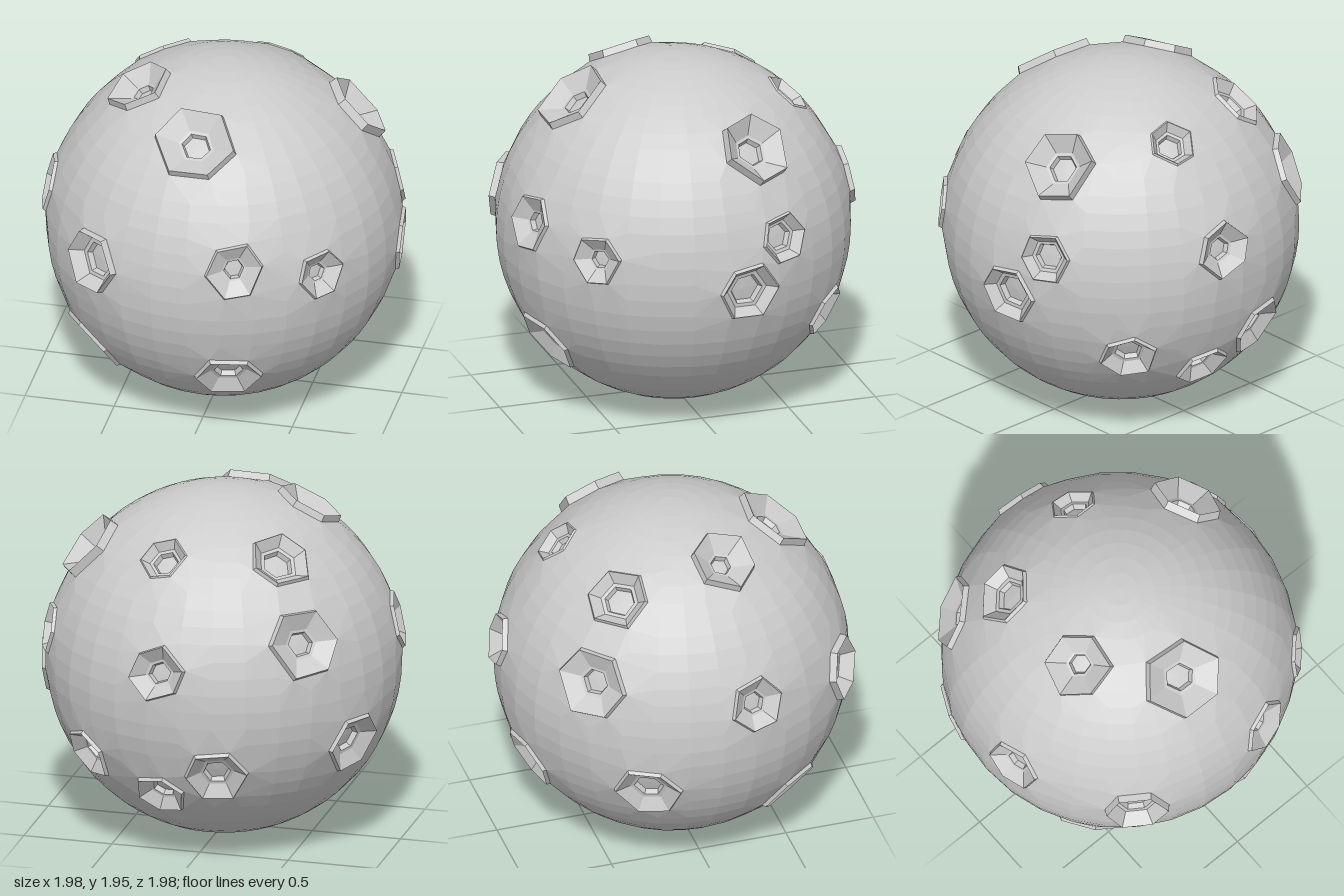
import * as THREE from 'three';
import { ConvexGeometry } from 'three/addons/geometries/ConvexGeometry.js';

const R = 0.975;
const FOOT = 0.982;

// Craters: direction x, y, z, rim radius, rim height from centre, floor share, roll
const CRATERS = [
  [-0.03, 0.79, 0.57, 0.21, 1.02, 0.5, 0],
  [0.27, 0.21, 0.91, 0.155, 1.0, 0.48, 0.1],
  [0.70, 0.11, 0.67, 0.135, 1.0, 0.5, 0.1],
  [-0.55, 0.10, 0.80, 0.17, 1.02, 0.75, 0],
  [0.21, -0.53, 0.78, 0.185, 1.0, 0.6, 0],
  [-0.62, -0.57, 0.48, 0.19, 1.0, 0.6, 0.2],
  [0.68, 0.65, -0.24, 0.19, 1.03, 0.55, 0.2],
  [0.89, 0.20, -0.34, 0.14, 1.0, 0.75, 0.15],
  [0.965, -0.08, -0.12, 0.165, 1.0, 0.75, 0],
  [0.58, -0.385, -0.68, 0.15, 1.0, 0.65, 0.3],
  [0.14, -0.55, -0.79, 0.14, 1.0, 0.6, 0.3],
  [0.12, 0.20, -0.94, 0.15, 1.01, 0.55, 0.3],
  [0.18, 0.74, -0.60, 0.125, 0.99, 0.75, 0.3],
  [-0.44, 0.745, -0.45, 0.165, 1.0, 0.7, 0.1],
  [-0.43, 0.86, 0.16, 0.175, 1.02, 0.45, 0.4],
  [-0.92, 0.22, 0.20, 0.155, 1.0, 0.55, 0.2],
  [-0.63, 0.35, -0.65, 0.19, 1.01, 0.5, 0],
  [-0.20, -0.40, -0.87, 0.175, 1.0, 0.6, 0.1],
  [-0.84, -0.29, -0.40, 0.175, 1.0, 0.6, 0.1],
];

let seed = 7;
const rand = () => (seed = (seed * 16807) % 2147483647) / 2147483647;

// One crater: its frame, its six irregular corners and a ring maker
function makeCrater([x, y, z, size, height, floor, roll]) {
  const dir = new THREE.Vector3(x, y, z).normalize();
  const right = new THREE.Vector3(0, 1, 0).cross(dir).normalize();
  const up = dir.clone().cross(right);
  const corners = Array.from({ length: 6 }, (_, i) => ({
    angle: (i * Math.PI) / 3 + roll + (rand() - 0.5) * 0.2,
    reach: size * (0.95 + rand() * 0.13),
  }));
  // ring of six points at a share of the rim size, at a distance from the centre
  const ring = (share, distance) => corners.map(({ angle, reach }) => {
    const r = reach * share;
    return dir.clone().multiplyScalar(Math.sqrt(1 - r * r))
      .addScaledVector(right, Math.cos(angle) * r)
      .addScaledVector(up, Math.sin(angle) * r)
      .multiplyScalar(distance);
  });
  return { dir, size, height, floor, ring, foot: ring(1.08, FOOT) };
}

// Raised rim, sloping wall, small step and flat floor
function craterGeometry({ dir, height, floor, ring, foot }) {
  const rings = [
    foot,
    ring(1, height),
    ring(floor, 0.94),
    ring(floor * 0.8, 0.935),
    ring(floor * 0.72, 0.905),
  ];
  const centre = dir.clone().multiplyScalar(0.905);
  const points = [];
  for (let i = 0; i < 6; i++) {
    const j = (i + 1) % 6;
    for (let k = 0; k < rings.length - 1; k++) {
      const [a, b] = [rings[k], rings[k + 1]];
      points.push(a[i], a[j], b[j], a[i], b[j], b[i]);
    }
    const last = rings[rings.length - 1];
    points.push(last[i], last[j], centre);
  }
  const geometry = new THREE.BufferGeometry().setFromPoints(points);
  geometry.computeVertexNormals();
  return geometry;
}

// Faceted ball fitted round the crater feet and left open at each crater
function ballGeometry(craters) {
  const points = [];
  const cols = 32, rows = 32;
  for (let r = 0; r <= rows; r++) {
    const count = r === 0 || r === rows ? 1 : cols;
    for (let c = 0; c < count; c++) {
      const p = new THREE.Vector3().setFromSphericalCoords(
        R, (r / rows) * Math.PI, (c / cols) * Math.PI * 2);
      const covered = craters.some((k) =>
        p.distanceTo(k.dir.clone().multiplyScalar(R)) < k.size * 1.22);
      if (!covered) points.push(p);
    }
  }
  craters.forEach((k) => points.push(...k.foot));

  const position = new ConvexGeometry(points).getAttribute('position');
  const kept = [];
  for (let i = 0; i < position.count; i += 3) {
    const tri = [0, 1, 2].map((n) => new THREE.Vector3().fromBufferAttribute(position, i + n));
    const isLid = craters.some((k) =>
      tri.every((p) => k.foot.some((f) => f.distanceToSquared(p) < 1e-8)));
    if (!isLid) kept.push(...tri);
  }
  const geometry = new THREE.BufferGeometry().setFromPoints(kept);
  geometry.computeVertexNormals();
  return geometry;
}

export function createModel() {
  const group = new THREE.Group();
  group.name = 'crateredMoon';
  const material = new THREE.MeshStandardMaterial({ color: 0xcccccc, flatShading: true });
  const craters = CRATERS.map(makeCrater);

  const ball = new THREE.Mesh(ballGeometry(craters), material);
  ball.name = 'moonSurface';
  ball.position.y = R;
  group.add(ball);

  craters.forEach((crater, i) => {
    const mesh = new THREE.Mesh(craterGeometry(crater), material);
    mesh.name = `crater${i + 1}`;
    mesh.position.y = R;
    group.add(mesh);
  });
  return group;
}
